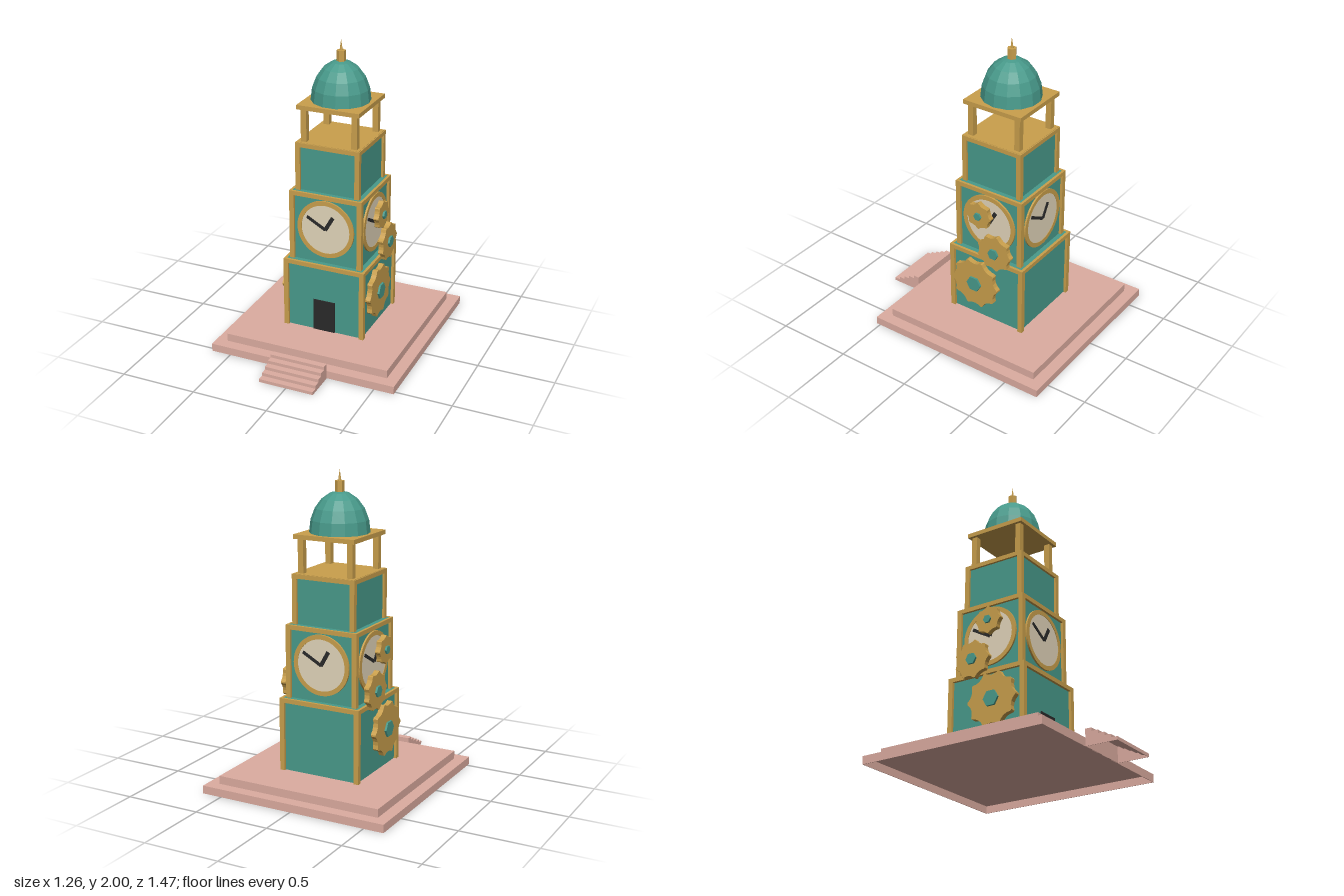
import * as THREE from 'three';

const mat = (name, color) => {
  const m = new THREE.MeshStandardMaterial({ color });
  m.name = name;
  return m;
};

export function createModel() {
  const stone = mat('rose stone', 0xdcaca0);
  const teal = mat('teal panel', 0x489a8b);
  const gold = mat('brass', 0xc99f4c);
  const cream = mat('cream dial', 0xe2d5ba);
  const dark = mat('dark iron', 0x2a2a2a);

  const model = new THREE.Group();
  model.name = 'clockTower';
  const tower = new THREE.Group();
  tower.name = 'tower';
  tower.position.z = -0.106;
  model.add(tower);

  const add = (parent, name, geometry, material, x = 0, y = 0, z = 0) => {
    const mesh = new THREE.Mesh(geometry, material);
    mesh.name = name;
    mesh.position.set(x, y, z);
    parent.add(mesh);
    return mesh;
  };
  // Box given by its bottom and top heights
  const block = (parent, name, material, w, d, y0, y1, x = 0, z = 0) =>
    add(parent, name, new THREE.BoxGeometry(w, y1 - y0, d), material, x, (y0 + y1) / 2, z);
  const flat = (geometry) => {
    const g = geometry.index ? geometry.toNonIndexed() : geometry;
    g.computeVertexNormals();
    return g;
  };

  // Plinth: a hollow lower slab, open underneath, and a solid upper slab
  const slab = 1.264;
  const wall = 0.004;
  block(tower, 'lowerPlinthTop', stone, slab, slab, 0.049, 0.052);
  for (const s of [-1, 1]) {
    const edge = s * (slab - wall) / 2;
    block(tower, 'lowerPlinthWall', stone, slab, wall, 0, 0.049, 0, edge);
    block(tower, 'lowerPlinthWall', stone, wall, slab - wall * 2, 0, 0.049, edge, 0);
  }
  block(tower, 'upperPlinth', stone, 1.114, 1.114, 0.052, 0.105);

  // Hollow entrance stair: treads, risers, side walls and back
  const stepCount = 5;
  const rise = 0.021;
  const run = 0.0415;
  const front = 0.735;
  const back = front - stepCount * run;
  const profile = new THREE.Shape();
  profile.moveTo(back, 0);
  profile.lineTo(front, 0);
  for (let i = 0; i < stepCount; i++) {
    const z = front - i * run;
    const y = (i + 1) * rise;
    profile.lineTo(z, y);
    profile.lineTo(z - run, y);
    block(model, 'stairTread', stone, 0.364, run, y - 0.003, y, 0, z - run / 2);
    block(model, 'stairRiser', stone, 0.364, 0.003, y - rise, y - 0.003, 0, z - 0.0015);
  }
  profile.closePath();
  const sidePlate = new THREE.ExtrudeGeometry(profile, { depth: 0.003, bevelEnabled: false }).rotateY(-Math.PI / 2);
  add(model, 'stairSide', sidePlate, stone, 0.184);
  add(model, 'stairSide', sidePlate, stone, -0.181);
  block(model, 'stairBack', stone, 0.364, 0.003, 0, 0.102, 0, back + 0.0015);

  // Three tiers: teal body, corner posts and top rails
  const tiers = [
    { half: 0.28, body: 0.262, y0: 0.105, y1: 0.582 },
    { half: 0.248, body: 0.231, y0: 0.582, y1: 1.052 },
    { half: 0.217, body: 0.202, y0: 1.052, y1: 1.369 },
  ];
  const post = 0.032;
  for (const { half, body, y0, y1 } of tiers) {
    block(tower, 'tierBody', teal, body * 2, body * 2, y0, y1 - 0.001);
    for (const sx of [-1, 1]) {
      for (const sz of [-1, 1]) {
        block(tower, 'cornerPost', gold, post, post, y0, y1 - 0.003, sx * (half - post / 2), sz * (half - post / 2));
      }
    }
    for (const s of [-1, 1]) {
      const t = half - body;
      block(tower, 'topRail', gold, half * 2, t, y1 - 0.028, y1, 0, s * (half - t / 2));
      block(tower, 'topRail', gold, t, body * 2, y1 - 0.028, y1, s * (half - t / 2), 0);
    }
  }
  block(tower, 'door', dark, 0.15, 0.008, 0.105, 0.322, 0, 0.265);

  // Clock on each of the four sides
  const ringShape = new THREE.Shape().absarc(0, 0, 0.194, 0, Math.PI * 2);
  ringShape.holes.push(new THREE.Path().absarc(0, 0, 0.165, 0, Math.PI * 2, true));
  const ring = new THREE.ExtrudeGeometry(ringShape, { depth: 0.012, bevelEnabled: false, curveSegments: 32 });
  const dial = new THREE.CylinderGeometry(0.167, 0.167, 0.008, 32).rotateX(Math.PI / 2);
  for (let i = 0; i < 4; i++) {
    const clock = new THREE.Group();
    clock.name = 'clock';
    clock.rotation.y = (i * Math.PI) / 2;
    clock.position.y = 0.82;
    tower.add(clock);
    add(clock, 'clockRing', ring, gold, 0, 0, 0.231);
    add(clock, 'clockDial', dial, cream, 0, 0, 0.236);
    for (const [name, x, y, w, z] of [['minuteHand', -0.127, 0.071, 0.02, 0.242], ['hourHand', 0.052, 0.092, 0.025, 0.244]]) {
      const hand = add(clock, name, new THREE.BoxGeometry(Math.hypot(x, y), w, 0.005), dark, x / 2, y / 2, z);
      hand.rotation.z = Math.atan2(y, x);
    }
  }

  // Gear wheel with scooped gaps between pointed teeth
  const gearGeometry = (radius, teeth) => {
    const at = (r, a) => [r * Math.cos(a), r * Math.sin(a)];
    const step = (Math.PI * 2) / teeth;
    const tip = step * 0.05;
    const shape = new THREE.Shape();
    shape.moveTo(...at(radius, -tip));
    for (let i = 0; i < teeth; i++) {
      const a = i * step;
      shape.lineTo(...at(radius, a + tip));
      shape.quadraticCurveTo(...at(radius * 0.78, a + step / 2), ...at(radius, a + step - tip));
    }
    return new THREE.ExtrudeGeometry(shape, { depth: 0.034, bevelEnabled: false, curveSegments: 4 });
  };
  const gears = [
    { z: -0.04, y: 0.372, r: 0.175, teeth: 10, hub: 0.054 },
    { z: -0.19, y: 0.66, r: 0.126, teeth: 9, hub: 0.038 },
    { z: -0.074, y: 0.897, r: 0.092, teeth: 8, hub: 0.027 },
  ];
  for (const side of [-1, 1]) {
    for (const { z, y, r, teeth, hub } of gears) {
      const gear = new THREE.Group();
      gear.name = 'gear';
      gear.position.set(side * 0.277, y, z);
      gear.rotation.y = (side * Math.PI) / 2;
      model.add(gear);
      add(gear, 'gearWheel', gearGeometry(r, teeth), gold);
      const hubGeometry = new THREE.CylinderGeometry(hub, hub, 0.046, 6).rotateX(Math.PI / 2).rotateZ(Math.PI / 2);
      add(gear, 'gearHub', flat(hubGeometry), teal, 0, 0, 0.024);
    }
  }

  // Open belfry
  block(tower, 'belfryFloor', gold, 0.42, 0.42, 1.35, 1.371);
  for (const sx of [-1, 1]) {
    for (const sz of [-1, 1]) {
      block(tower, 'belfryPost', gold, 0.038, 0.038, 1.37, 1.587, sx * 0.17, sz * 0.17);
    }
  }
  block(tower, 'canopy', gold, 0.418, 0.418, 1.585, 1.613);

  // Faceted dome and finial
  const dome = new THREE.SphereGeometry(0.189, 14, 5, 0, Math.PI * 2, 0, Math.PI / 2).scale(1, 1.35, 1);
  add(tower, 'dome', flat(dome), teal, 0, 1.613, 0);
  add(tower, 'finialBase', flat(new THREE.CylinderGeometry(0.029, 0.029, 0.07, 6)), gold, 0, 1.895, 0);
  add(tower, 'finialSpike', flat(new THREE.ConeGeometry(0.01, 0.072, 6)), gold, 0, 1.964, 0);

  return model;
}
